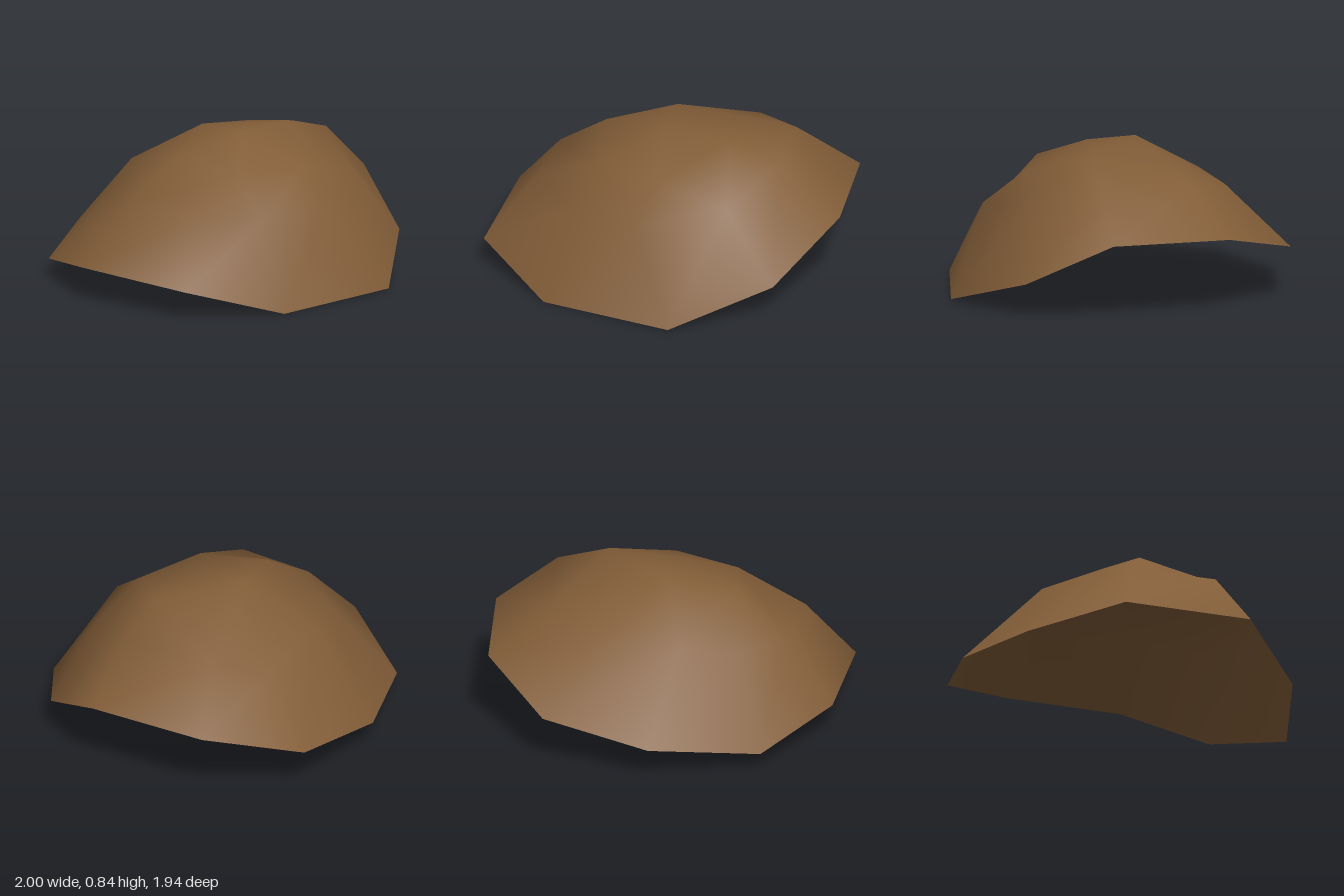
import * as THREE from 'three';

// Cross-section rings of the faceted cap, pole to rim, each running from +x towards +z
const POLE = [[-0.03, 0.835, 0.14]];
const CROWN = [
  [0.35, 0.833, 0.19], [0.03, 0.685, 0.51], [-0.35, 0.69, 0.36],
  [-0.43, 0.745, -0.035], [-0.045, 0.844, -0.14],
];
const SHOULDER = [
  [0.65, 0.74, 0.2], [0.44, 0.59, 0.55], [-0.06, 0.493, 0.73], [-0.4, 0.47, 0.55], [-0.74, 0.51, 0.33],
  [-0.725, 0.53, -0.12], [-0.5, 0.54, -0.4], [-0.18, 0.61, -0.535], [0.31, 0.62, -0.58], [0.6, 0.7, -0.32],
];
const RIM = [
  [0.74, 0.195, 0.65], [0.22, 0.01, 0.97], [-0.55, 0, 0.82], [-1, 0.16, 0.47], [-1, 0.19, -0.25],
  [-0.68, 0.1, -0.74], [-0.08, 0.18, -0.97], [0.53, 0.295, -0.91], [0.92, 0.44, -0.48], [1, 0.45, 0.2],
];

function capGeometry() {
  const crown = (i) => 1 + (i % 5);
  const shoulder = (i) => 6 + ((i + 10) % 10);
  const rim = (i) => 16 + ((i + 10) % 10);
  const index = [];
  // top fan and the band that doubles five sides to ten
  for (let i = 0; i < 5; i++) {
    index.push(0, crown(i + 1), crown(i));
    index.push(crown(i), shoulder(2 * i), shoulder(2 * i - 1));
    index.push(crown(i), shoulder(2 * i + 1), shoulder(2 * i));
    index.push(crown(i), crown(i + 1), shoulder(2 * i + 1));
  }
  // skirt down to the uneven open rim
  for (let k = 0; k < 10; k++) {
    index.push(shoulder(k), shoulder(k + 1), rim(k));
    index.push(shoulder(k), rim(k), rim(k - 1));
  }
  const g = new THREE.BufferGeometry();
  const points = [...POLE, ...CROWN, ...SHOULDER, ...RIM];
  g.setAttribute('position', new THREE.Float32BufferAttribute(points.flat(), 3));
  g.setIndex(index);
  g.computeVertexNormals();
  return g;
}

export function createModel() {
  const group = new THREE.Group();
  const brown = new THREE.MeshStandardMaterial({ color: 0x825d38, side: THREE.DoubleSide });
  brown.name = 'brown';
  // hollow shell, open underneath
  const shell = new THREE.Mesh(capGeometry(), brown);
  shell.name = 'domeShell';
  group.add(shell);
  return group;
}
